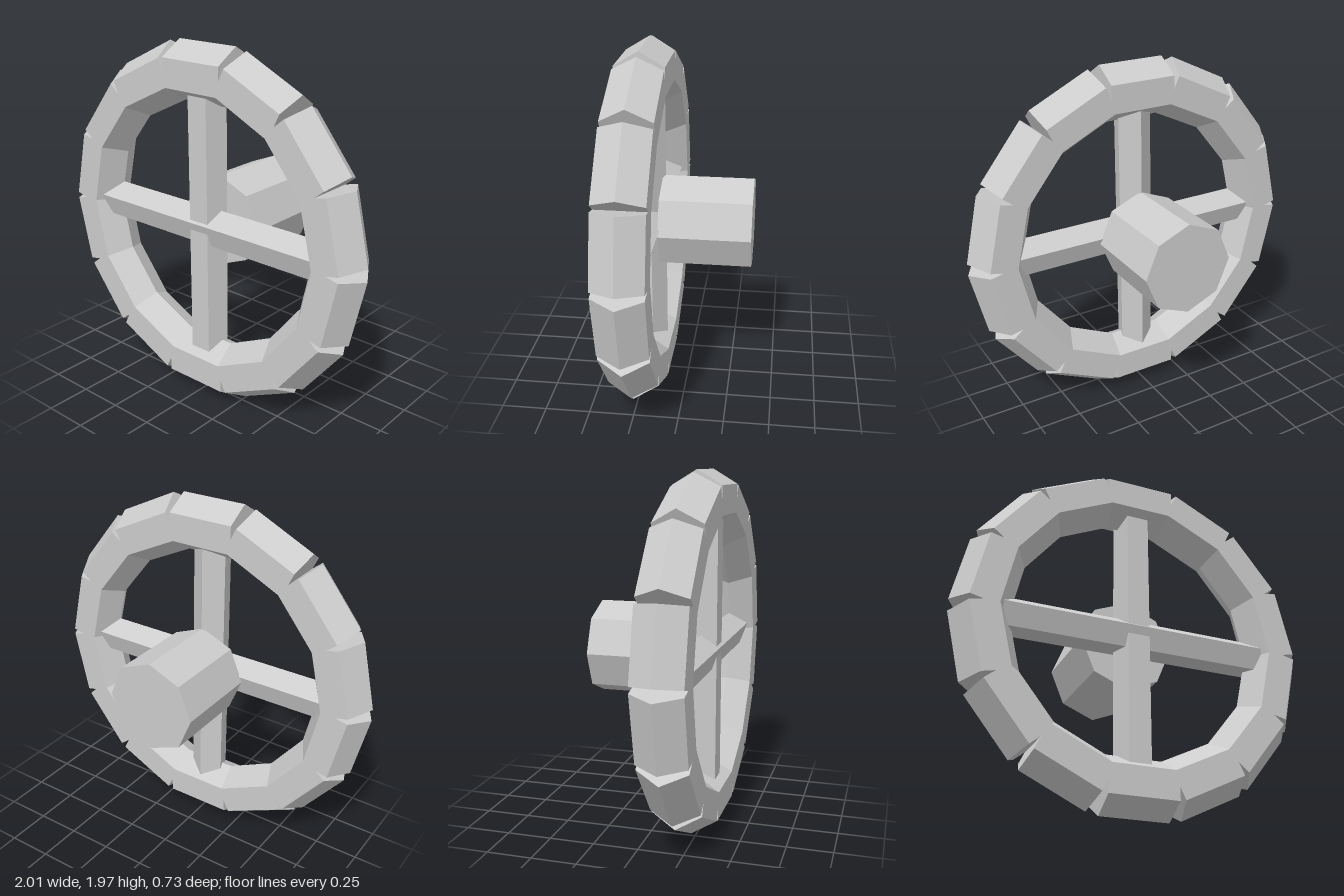
import * as THREE from 'three';

const CENTER_Y = 0.985;
const WHEEL_Z = 0.23;
const SEGMENTS = 14;

// One rim block: a six-sided section with mitred inner joints and square outer ends
function rimBlockGeometry() {
  const slope = Math.tan(Math.PI / SEGMENTS);
  const halfWidth = 0.19;
  const notch = halfWidth / slope; // radius where neighbouring blocks meet
  const d = 0.133;
  // [distance from the axis, depth]
  const profile = [
    [0.985, 0], [0.905, d], [notch, d], [0.75, d],
    [0.67, 0], [0.75, -d], [notch, -d], [0.905, -d],
  ];
  const corner = (i, side) => {
    const [r, z] = profile[i % profile.length];
    return [side * Math.min(halfWidth, r * slope), r, z];
  };
  const positions = [];
  const face = (...pts) => {
    for (let i = 1; i < pts.length - 1; i++) positions.push(...pts[0], ...pts[i], ...pts[i + 1]);
  };
  for (let i = 0; i < profile.length; i++) {
    face(corner(i, 1), corner(i, -1), corner(i + 1, -1), corner(i + 1, 1));
  }
  // Exposed ends inside the notches
  const cap = [6, 7, 0, 1, 2];
  face(...cap.map((i) => corner(i, 1)));
  face(...cap.map((i) => corner(i, -1)).reverse());

  const geometry = new THREE.BufferGeometry();
  geometry.setAttribute('position', new THREE.Float32BufferAttribute(positions, 3));
  geometry.computeVertexNormals();
  return geometry;
}

export function createModel() {
  const model = new THREE.Group();
  model.name = 'valveWheel';
  const grey = new THREE.MeshStandardMaterial({ color: 0xcccccc, flatShading: true });
  grey.name = 'lightGrey';

  const add = (parent, name, geometry) => {
    const mesh = new THREE.Mesh(geometry, grey);
    mesh.name = name;
    parent.add(mesh);
    return mesh;
  };

  const wheel = new THREE.Group();
  wheel.name = 'wheel';
  wheel.position.set(0, CENTER_Y, WHEEL_Z);
  model.add(wheel);

  // Notched rim
  const rim = new THREE.Group();
  rim.name = 'rim';
  wheel.add(rim);
  const block = rimBlockGeometry();
  for (let i = 0; i < SEGMENTS; i++) {
    add(rim, 'rimBlock', block).rotation.z = (i / SEGMENTS) * Math.PI * 2;
  }

  // Five-sided crossbars: flat front on the upright one, ridge on top of the level one
  const bar = (start) => new THREE.CylinderGeometry(0.105, 0.105, 1.5, 5, 1, false, start);
  add(wheel, 'uprightSpoke', bar(Math.PI));
  add(wheel, 'levelSpoke', bar(Math.PI / 2)).rotation.z = Math.PI / 2;

  // Eight-sided hub reaching backwards
  const front = 0.14, back = -0.362;
  const hub = add(model, 'hub', new THREE.CylinderGeometry(0.26, 0.26, front - back, 8));
  hub.rotation.x = Math.PI / 2;
  hub.position.set(0, CENTER_Y, (front + back) / 2);

  return model;
}
